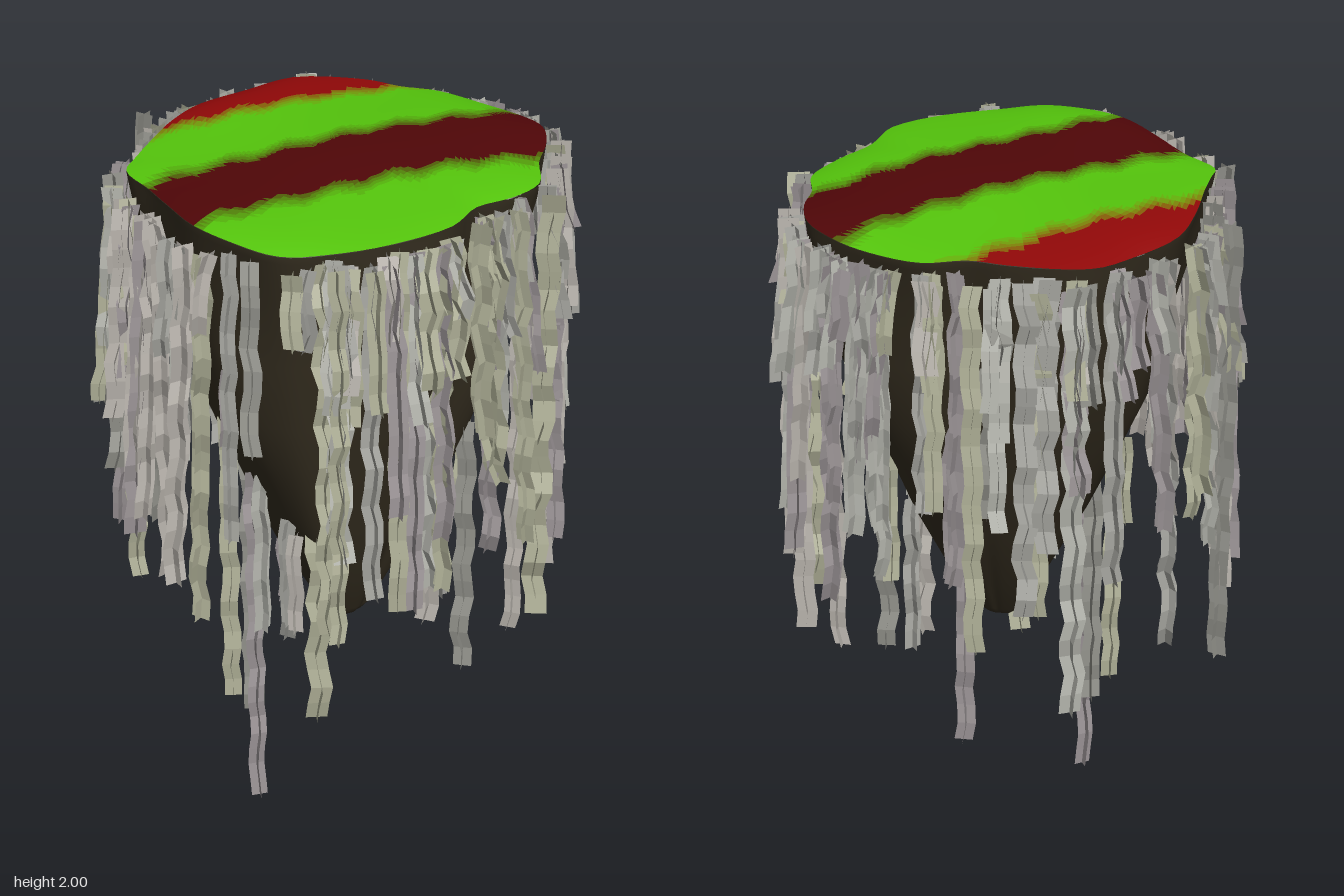
import * as THREE from 'three';
import { mergeGeometries } from 'three/addons/utils/BufferGeometryUtils.js';

let seed = 7;
const rnd = () => (seed = (seed * 16807) % 2147483647) / 2147483647;
const spread = (a) => (rnd() * 2 - 1) * a;

// plan outline of the island (x, z), smoothed into a closed curve
const outline = new THREE.CatmullRomCurve3([
  [-0.16, -0.56], [0.04, -0.54], [0.14, -0.5], [0.25, -0.49], [0.38, -0.41], [0.47, -0.33], [0.53, -0.24],
  [0.54, -0.13], [0.52, -0.02], [0.52, 0.1], [0.45, 0.2], [0.36, 0.28], [0.3, 0.4], [0.15, 0.5], [0, 0.55],
  [-0.12, 0.57], [-0.23, 0.52], [-0.34, 0.43], [-0.42, 0.3], [-0.48, 0.19], [-0.55, 0.08], [-0.53, 0],
  [-0.5, -0.1], [-0.46, -0.24], [-0.4, -0.37], [-0.28, -0.48],
].map(([x, z]) => new THREE.Vector3(x, 0, z)), true);
const N = 104;
const rim = outline.getPoints(N);
const rimHeight = (i) => 1.957 + 0.007 * Math.sin((i / N) * Math.PI * 10);

// surface through shrinking closed rings, facing up or down; ringAt(row, i) -> [x, y, z]
function ringSurface(rows, facesUp, ringAt) {
  const pos = [], idx = [];
  for (let r = 0; r <= rows; r++) for (let i = 0; i < N; i++) pos.push(...ringAt(r, i));
  for (let r = 0; r < rows; r++) for (let i = 0; i < N; i++) {
    const j = (i + 1) % N, a = r * N + i, b = r * N + j, c = a + N, d = b + N;
    if (facesUp) idx.push(a, c, b, b, c, d);
    else idx.push(a, b, c, b, d, c);
  }
  const g = new THREE.BufferGeometry();
  g.setAttribute('position', new THREE.Float32BufferAttribute(pos, 3));
  g.setIndex(idx);
  g.computeVertexNormals();
  return g;
}

// striped grass: the domed lid is divided into diagonal bands with soft ragged borders
function addLid(group) {
  const rows = 40;
  const lid = ringSurface(rows, true, (r, i) => {
    const s = 1 - r / rows, x = rim[i].x * s, z = rim[i].z * s;
    const dome = 1.984 + 0.012 * Math.sin(x * 6 + 1) * Math.cos(z * 6);
    return [x, THREE.MathUtils.lerp(dome, rimHeight(i), s ** 6), z];
  });
  const green = 0x55c60c, darkRed = 0x500608, steps = 4, soft = 0.07;
  const stripes = [['backRedBand', 0x920808, -0.41], ['backGreenBand', green, -0.1],
    ['darkRedBand', darkRed, 0.25], ['frontGreenBand', green, 9]];
  const bands = [];
  stripes.forEach(([name, color, end], k) => {
    bands.push([name, new THREE.Color(color), end - soft / 2]);
    if (k === stripes.length - 1) return;
    for (let s = 1; s <= steps; s++) {
      const mix = new THREE.Color(color).lerp(new THREE.Color(stripes[k + 1][1]), s / (steps + 1));
      bands.push([name + 'Border', mix, end - soft / 2 + (soft * s) / steps]);
    }
  });
  const lists = bands.map(() => []);
  const p = lid.attributes.position, index = Array.from(lid.index.array);
  for (let t = 0; t < index.length; t += 3) {
    const tri = index.slice(t, t + 3);
    const x = tri.reduce((s, k) => s + p.getX(k) / 3, 0), z = tri.reduce((s, k) => s + p.getZ(k) / 3, 0);
    const saw = Math.abs(((x * 7 + 20) % 1) - 0.5) * 0.07 - 0.017;
    lists[bands.findIndex((b) => z + 0.56 * x + saw < b[2])].push(...tri);
  }
  bands.forEach(([name, color], k) => {
    const g = lid.clone();
    g.setIndex(lists[k]);
    const m = new THREE.Mesh(g, new THREE.MeshStandardMaterial({ color, side: THREE.DoubleSide }));
    m.name = name;
    group.add(m);
  });
}

// earth underside: the outline shrinks and drifts toward a blunt tip
const profile = [[1.955, 1], [1.935, 0.995], [1.8, 0.94], [1.6, 0.86], [1.4, 0.77], [1.2, 0.62], [1, 0.47],
  [0.8, 0.29], [0.65, 0.14], [0.62, 0.09], [0.62, 0]];
const drift = (y) => Math.max(0, (1.95 - y) / 1.33);
function addEarth(group) {
  const g = ringSurface(profile.length - 1, false, (r, i) => {
    const [y, s] = profile[r];
    const lump = r > 1 && r < 8 ? 1 + 0.03 * Math.sin((i / N) * Math.PI * 8 + r) : 1;
    const h = r < 2 ? y - 1.957 + rimHeight(i) : y;
    return [rim[i].x * s * lump + 0.02 * drift(y), h, rim[i].z * s * lump + 0.07 * drift(y)];
  });
  const earth = new THREE.Mesh(g, new THREE.MeshStandardMaterial({ color: 0x352e20, side: THREE.DoubleSide }));
  earth.name = 'earthCone';
  group.add(earth);
}

// hanging root: two crossed ribbons that jog sideways and lean outward as they descend
const rootMaterials = [0xa6a6a0, 0xb4b5ad, 0x9d9698, 0xb0b198, 0xbab5ae, 0x94948d].map(
  (color) => new THREE.MeshStandardMaterial({ color, flatShading: true, side: THREE.DoubleSide }));
function addRoot(group, x, z, top, bottom, lean = 0, width = 0.042 + rnd() * 0.02) {
  const len = top - bottom, n = Math.max(3, Math.round(len / 0.055));
  const ribbons = [new THREE.PlaneGeometry(width, len, 1, n), new THREE.PlaneGeometry(width, len, 1, n)];
  ribbons[1].rotateY(Math.PI / 2);
  const g = mergeGeometries(ribbons);
  const phase = rnd() * 6, wave = 0.003 + rnd() * 0.006;
  const jogs = Array.from({ length: n + 1 }, (_, k) => [
    Math.sin(k * 1.9 + phase) * wave + spread(0.004), Math.cos(k * 1.7 + phase) * wave + spread(0.004)]);
  const p = g.attributes.position;
  for (let i = 0; i < p.count; i++) {
    const k = Math.round((0.5 - p.getY(i) / len) * n);
    p.setX(i, p.getX(i) + jogs[k][0]);
    p.setZ(i, p.getZ(i) + jogs[k][1] + (lean * k) / n);
  }
  g.computeVertexNormals();
  const root = new THREE.Mesh(g, rootMaterials[Math.floor(rnd() * rootMaterials.length)]);
  root.name = 'hangingRoot';
  root.position.set(x, (top + bottom) / 2, z);
  root.rotation.y = Math.atan2(x, z) + spread(0.3);
  group.add(root);
}

// clusters around the rim (x, z, number of roots)
const clusters = [
  [-0.29, 0.55, 2], [-0.22, 0.57, 2], [-0.4, 0.45, 3], [-0.47, 0.34, 4], [-0.55, 0.22, 4], [-0.59, 0.1, 3],
  [-0.58, 0, 4], [-0.54, -0.1, 4], [-0.53, -0.2, 4], [-0.51, -0.29, 4], [-0.46, -0.39, 4], [-0.37, -0.48, 4],
  [-0.26, -0.56, 4], [-0.14, -0.61, 4], [-0.03, -0.6, 4], [0.06, -0.59, 4], [0.15, -0.56, 2],
  [0.25, -0.54, 4], [0.33, -0.51, 3], [0.4, -0.47, 4], [0.46, -0.42, 4], [0.5, -0.37, 4], [0.55, -0.3, 3],
  [0.58, -0.21, 4], [0.58, -0.1, 3], [0.55, 0.11, 4], [0.48, 0.2, 4], [0.43, 0.27, 4], [0.38, 0.33, 4],
  [0.3, 0.43, 4], [0.23, 0.5, 3], [0.15, 0.55, 4], [0.08, 0.57, 4], [0, 0.59, 4], [-0.07, 0.61, 1],
];
// individually placed long or low roots (x, z, top, bottom)
const singles = [
  [-0.23, 0.15, 1.1, 0], [-0.04, 0.31, 1, 0.39], [-0.3, 0.12, 1.25, 0.33], [-0.24, 0.1, 1.1, 0.27],
  [0.49, 0.03, 1.5, 0.53], [0.15, -0.45, 1.45, 0.51], [0.35, 0.12, 1.25, 0.46], [0.28, -0.06, 1.05, 0.57],
  [-0.55, -0.3, 1.95, 0.66], [0.58, -0.1, 1.94, 0.67], [-0.12, -0.63, 1.94, 0.71], [0.03, 0.62, 1.94, 0.86],
  [-0.1, 0.36, 1.02, 0.72], [0.18, 0.43, 1.35, 1.13], [-0.26, 0.52, 1.6, 1.39], [-0.05, 0.58, 1.92, 1.69],
  [0.55, 0.14, 1.94, 0.66], [-0.2, 0.25, 1.15, 0.65], [-0.44, 0.37, 1.94, 0.9],
];

export function createModel() {
  const model = new THREE.Group();
  model.name = 'floatingIsland';
  addLid(model);
  addEarth(model);

  const roots = new THREE.Group();
  roots.name = 'hangingRoots';
  model.add(roots);
  clusters.forEach(([x, z, count]) => {
    for (let k = 0; k < count; k++) {
      const bottom = 1.74 - 0.95 * rnd() ** 1.6;
      const pull = 0.975 + spread(0.02), slide = spread(0.035), r = Math.hypot(x, z);
      addRoot(roots, x * pull + (slide * z) / r, z * pull - (slide * x) / r, 1.95 - rnd() * 0.04, bottom,
        0.015 + rnd() * 0.05);
    }
  });
  singles.forEach((s) => addRoot(roots, ...s));

  // scattered roots leaving the sides of the cone
  for (let k = 0; k < 12; k++) {
    const [y, s] = profile[3 + (k % 4)];
    const q = rim[Math.floor(((k + rnd()) / 12) * N)];
    addRoot(roots, q.x * s * 1.03, q.z * s * 1.03 + 0.07 * drift(y), y + 0.03, y - 0.2 - rnd() * 0.35);
  }
  return model;
}
